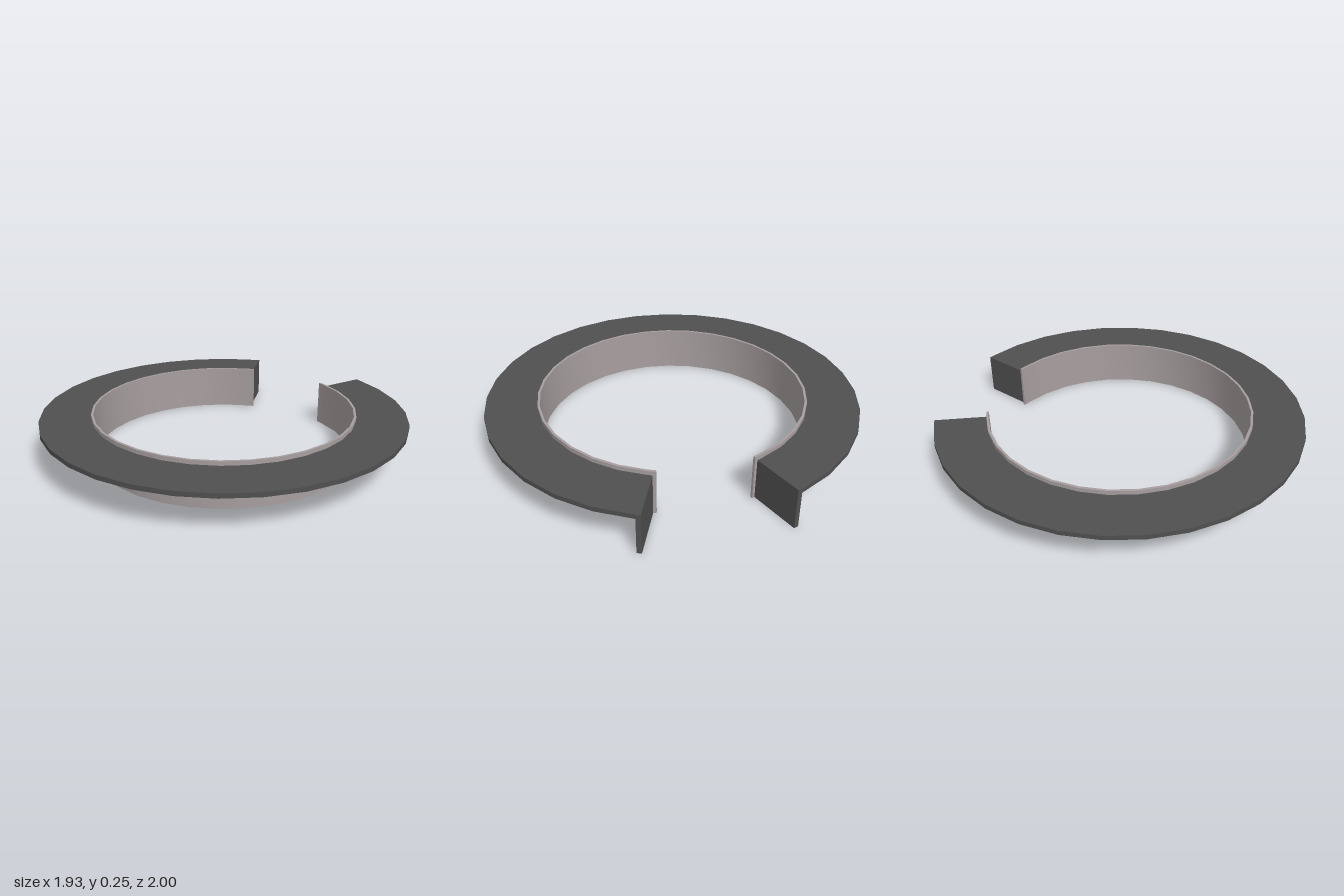
import * as THREE from 'three';
import { toCreasedNormals } from 'three/addons/utils/BufferGeometryUtils.js';

const CENTRE_X = 0.033;
const GAP = Math.PI / 8; // half angle of the opening, facing +x
const SEGMENTS = 28;
const OUTER = 1, WALL_OUT = 0.723, WALL_IN = 0.71;
const PLATE = 0.025, TIP = 0.04;
const FLANGE_Y = 0.2, WALL_H = 0.247;

// Points along an open arc, optionally run on straight past both ends
function arc(radius, tip = 0) {
  const pts = [];
  for (let i = 0; i <= SEGMENTS; i++) {
    const a = GAP + (i / SEGMENTS) * (2 * Math.PI - 2 * GAP);
    pts.push(new THREE.Vector2(radius * Math.cos(a), radius * Math.sin(a)));
  }
  if (tip) {
    const x = radius * Math.cos(GAP) + tip * Math.sin(GAP);
    const y = radius * Math.sin(GAP) - tip * Math.cos(GAP);
    pts.unshift(new THREE.Vector2(x, y));
    pts.push(new THREE.Vector2(x, -y));
  }
  return pts;
}

// Upright C-shaped band between two radii
function openRing(outer, inner, height, tip) {
  const shape = new THREE.Shape([...arc(outer, tip), ...arc(inner, tip).reverse()]);
  const geo = new THREE.ExtrudeGeometry(shape, { depth: height, bevelEnabled: false });
  geo.rotateX(-Math.PI / 2);
  return toCreasedNormals(geo, Math.PI / 6);
}

export function createModel() {
  const group = new THREE.Group();
  const dark = new THREE.MeshStandardMaterial({ color: 0x505050 });
  const pale = new THREE.MeshStandardMaterial({ color: 0xa89f9f });

  const add = (name, geometry, material) => {
    const mesh = new THREE.Mesh(geometry, material);
    mesh.name = name;
    mesh.position.x = CENTRE_X;
    group.add(mesh);
    return mesh;
  };

  // Thin inner wall, standing slightly proud of the flange
  add('innerWall', openRing(WALL_OUT, WALL_IN, WALL_H, TIP), pale);

  // Flat flange around the wall
  add('flange', openRing(OUTER, WALL_OUT - 0.003, PLATE), dark).position.y = FLANGE_Y;

  // Plates closing both ends of the flange
  const height = FLANGE_Y + PLATE;
  const middle = (OUTER + WALL_OUT) / 2;
  for (const side of [1, -1]) {
    const a = side * GAP;
    const plate = add(side > 0 ? 'frontEndPlate' : 'backEndPlate',
      new THREE.BoxGeometry(OUTER - WALL_OUT, height, PLATE), dark);
    plate.rotation.y = -a;
    plate.position.set(
      CENTRE_X + middle * Math.cos(a) + side * Math.sin(a) * PLATE / 2,
      height / 2,
      middle * Math.sin(a) - side * Math.cos(a) * PLATE / 2);
  }
  return group;
}
